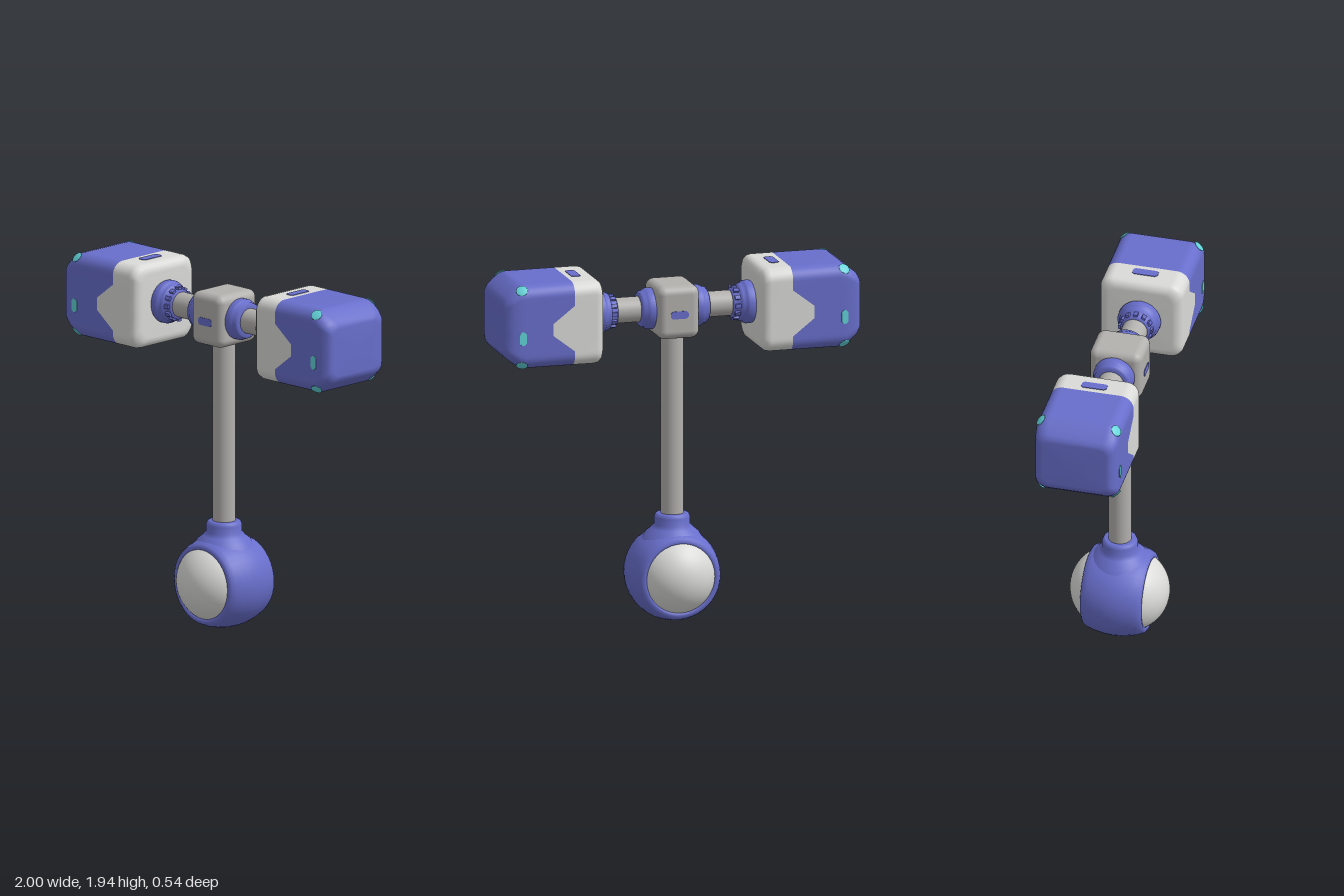
import * as THREE from 'three';
import { RoundedBoxGeometry } from 'three/addons/geometries/RoundedBoxGeometry.js';

const mat = (name, color) => new THREE.MeshStandardMaterial({ name, color });
const HALF = 0.23, HEAD_Y = 1.71, ARM_Y = 1.72, BALL_Y = 0.255;

// Turned part, profile given as [radius, height] from bottom to top
const lathe = (pts) => new THREE.LatheGeometry(pts.map(([r, y]) => new THREE.Vector2(r, y)), 40);

// Thin plate with clipped corners, facing +z
function plate(w, h, c = 0.012) {
  const s = new THREE.Shape();
  const x = w / 2, y = h / 2;
  s.moveTo(-x + c, -y);
  [[x - c, -y], [x, -y + c], [x, y - c], [x - c, y], [-x + c, y], [-x, y - c], [-x, -y + c]]
    .forEach(([a, b]) => s.lineTo(a, b));
  return new THREE.ExtrudeGeometry(s, { depth: 0.006, bevelEnabled: false }).translate(0, 0, -0.003);
}

// Rounded square section of the hammer head, with extra points where the colour edge bends
const BENDS = [[-0.143, 0.61], [-0.05, 0.73], [0.017, 0.73], [0.11, 0.61]];
function headRing() {
  const ring = [], r = 0.07, c = HALF - r;
  const corner = (sy, sz, start) => {
    for (let i = 0; i <= 8; i++) {
      const a = start + (i / 8) * Math.PI / 2;
      ring.push([sy * c + r * Math.cos(a), sz * c + r * Math.sin(a)]);
    }
  };
  corner(1, 1, 0);
  [...BENDS].reverse().forEach(([y]) => ring.push([y, HALF]));
  corner(-1, 1, Math.PI / 2);
  corner(-1, -1, Math.PI);
  BENDS.forEach(([y]) => ring.push([y, -HALF]));
  corner(1, -1, Math.PI * 1.5);
  return ring;
}

// Colour edge: straight above and below, with a tongue on the front and back
function edgeX(y) {
  if (y <= BENDS[0][0] || y >= BENDS[3][0]) return 0.61;
  for (let i = 0; i < 3; i++) {
    const [y0, x0] = BENDS[i], [y1, x1] = BENDS[i + 1];
    if (y <= y1) return x0 + (x1 - x0) * (y - y0) / (y1 - y0);
  }
}

// Skin over stations [x, half height, half depth]; x null follows the colour edge
function headShell(stations) {
  const ring = headRing(), n = ring.length, pos = [], index = [];
  stations.forEach(([x, hy, hz], i) => ring.forEach(([y, z], j) => {
    pos.push(x === null ? edgeX(y) : x, y * hy / HALF, z * hz / HALF);
    if (i === stations.length - 1) return;
    const a = i * n + j, b = i * n + (j + 1) % n;
    index.push(a, b, a + n, b, b + n, a + n);
  }));
  const g = new THREE.BufferGeometry();
  g.setAttribute('position', new THREE.Float32BufferAttribute(pos, 3));
  g.setIndex(index);
  g.computeVertexNormals();
  return g;
}

export function createModel() {
  const blue = mat('blue', 0x686ecb);
  const white = mat('paleGrey', 0xdadad8);
  const metal = mat('metalGrey', 0xb3b1ae);
  const cyan = mat('cyan', 0x62d2d8);

  const root = new THREE.Group();
  root.name = 'doubleHammer';
  const add = (parent, name, geo, material, x = 0, y = 0, z = 0) => {
    const m = new THREE.Mesh(geo, material);
    m.name = name;
    m.position.set(x, y, z);
    parent.add(m);
    return m;
  };

  // Pommel: blue barrel with a pale dome on each side
  const half = [[0.18, 0.15], [0.19, 0.167], [0.205, 0.17], [0.22, 0.16], [0.232, 0.135], [0.242, 0.1], [0.252, 0.05]];
  const barrel = [...half.map(([r, z]) => [r, -z]), [0.255, 0], ...half.slice().reverse()];
  add(root, 'pommelBarrel', lathe(barrel).rotateX(Math.PI / 2), blue, 0, BALL_Y);
  for (const s of [1, -1]) {
    const dome = new THREE.SphereGeometry(0.227, 40, 14, 0, Math.PI * 2, 0, 1.09);
    dome.rotateX(s * Math.PI / 2);
    add(root, 'pommelDome', dome, white, 0, BALL_Y + 0.004, s * 0.043);
  }
  add(root, 'pommelCollar', lathe([[0.17, 0.44], [0.145, 0.48], [0.115, 0.505], [0.098, 0.525],
    [0.097, 0.565], [0.09, 0.582], [0.078, 0.587], [0.05, 0.587]]), blue);

  // Shaft and central hub
  add(root, 'shaft', new THREE.CylinderGeometry(0.063, 0.063, 1.1, 32), metal, 0, 1.1);
  add(root, 'hub', new RoundedBoxGeometry(0.235, 0.29, 0.29, 5, 0.045), metal, 0, 1.715);
  for (const s of [1, -1]) add(root, 'hubSlot', plate(0.1, 0.042), blue, 0, 1.706, s * 0.145);

  // One arm with its head, repeated on the other side
  for (const s of [1, -1]) {
    const arm = new THREE.Group();
    arm.name = s > 0 ? 'leftArm' : 'rightArm';
    arm.rotation.y = s > 0 ? 0 : Math.PI;
    root.add(arm);

    add(arm, 'armRod', new THREE.CylinderGeometry(0.069, 0.069, 0.4, 32).rotateZ(Math.PI / 2), metal, 0.25, ARM_Y);
    add(arm, 'hubCollar', lathe([[0.108, 0.1], [0.112, 0.12], [0.112, 0.145], [0.106, 0.158], [0.1, 0.164],
      [0.098, 0.18], [0.088, 0.19], [0.06, 0.19]]).rotateZ(-Math.PI / 2), blue, 0, ARM_Y);
    add(arm, 'headCollar', lathe([[0.06, 0.322], [0.076, 0.322], [0.082, 0.33], [0.083, 0.357], [0.098, 0.362],
      [0.103, 0.375], [0.104, 0.388], [0.113, 0.394], [0.117, 0.405], [0.117, 0.43], [0.11, 0.445]])
      .rotateZ(-Math.PI / 2), blue, 0, ARM_Y);
    for (let i = 0; i < 12; i++) {
      const tooth = new THREE.BoxGeometry(0.03, 0.016, 0.022).translate(0, 0.086, 0);
      add(arm, 'collarTooth', tooth, blue, 0.345, ARM_Y).rotation.x = i * Math.PI / 6;
    }

    const head = new THREE.Group();
    head.name = 'hammerHead';
    head.position.y = HEAD_Y;
    arm.add(head);
    add(head, 'headInner', headShell([[0.44, 0, 0], [0.44, 0.175, 0.175], [0.443, 0.195, 0.195], [0.452, 0.213, 0.213],
      [0.467, 0.225, 0.225], [0.49, HALF, HALF], [null, HALF, HALF]]), white);
    add(head, 'headOuter', headShell([[null, HALF, HALF], [0.88, HALF, HALF], [0.91, 0.224, HALF], [0.95, 0.195, 0.226],
      [0.98, 0.17, 0.213], [0.995, 0.15, 0.195], [1, 0.13, 0.175], [1, 0, 0]]), blue);

    // Slots on top and bottom, cyan marks on the sides and corners
    for (const a of [1, -1]) {
      add(head, 'headSlot', plate(0.052, 0.14), blue, 0.555, a * HALF).rotation.x = -a * Math.PI / 2;
      add(head, 'sideMark', plate(0.038, 0.075), cyan, 0.9, -0.055, a * HALF);
      for (const b of [1, -1]) {
        const mark = add(head, 'cornerMark', new THREE.SphereGeometry(1, 16, 8), cyan, 0.902, a * 0.206, b * 0.209);
        mark.scale.set(0.032, 0.032, 0.006);
        mark.quaternion.setFromUnitVectors(new THREE.Vector3(0, 0, 1),
          new THREE.Vector3(0.25, a * 0.7, b * 0.67).normalize());
      }
    }
  }
  return root;
}
